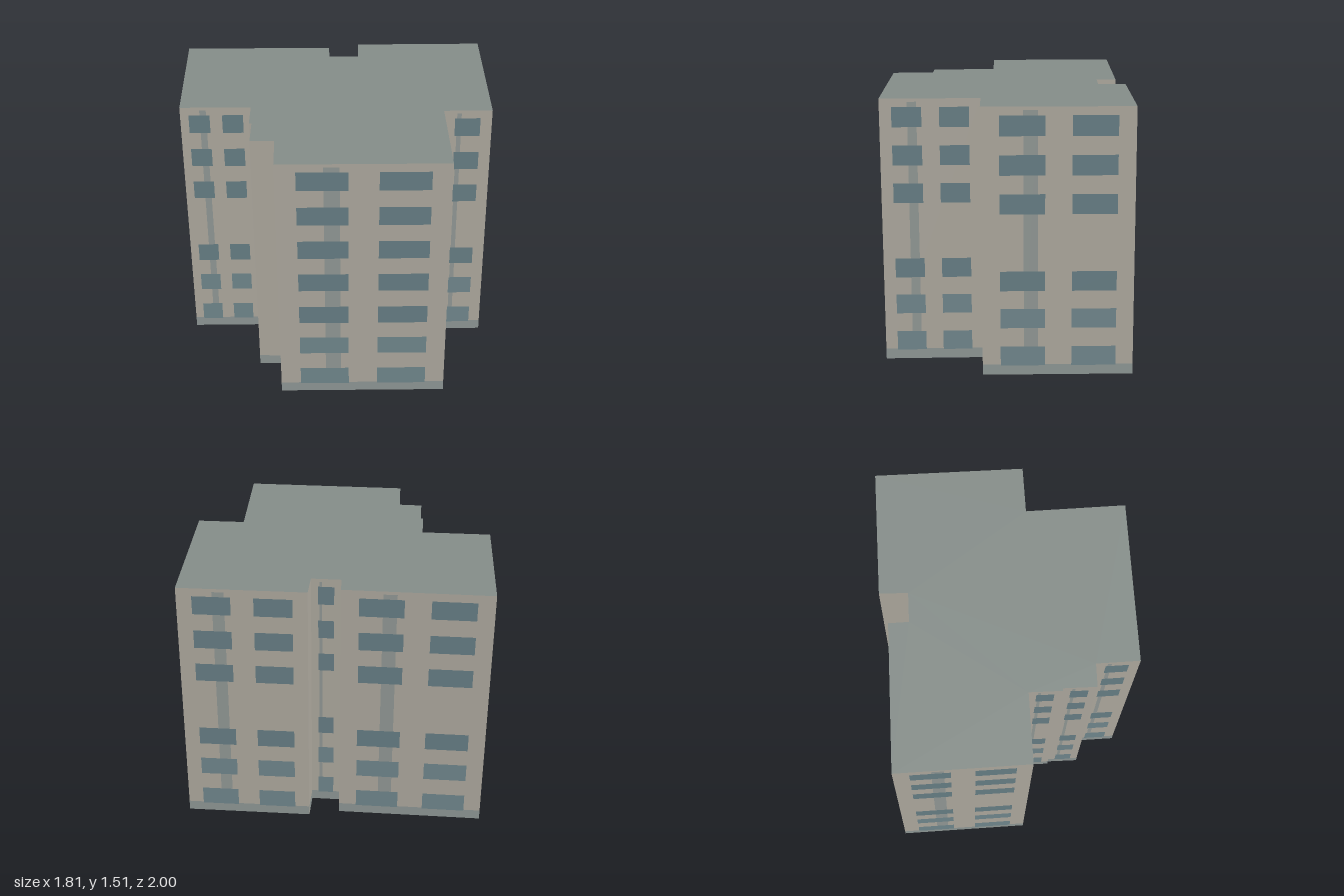
import * as THREE from 'three';

const HEIGHT = 1.513;
const PLINTH = 0.06;
const ROWS = [0.11, 0.33, 0.545, 0.765, 0.98, 1.195, 1.41];
const WINDOW_HEIGHT = 0.112;

// Footprint corners [x, z, windows per row on the wall that starts here]
const FOOTPRINT = [
  [-0.905, 0.37, 2], [-0.225, 0.995, 2], [0.145, 0.578, 1], [0.343, 0.757, 2],
  [0.905, 0.14, 2], [0.373, -0.345, 0], [0.262, -0.23, 1], [0.138, -0.345, 0],
  [0.213, -0.43, 2], [-0.40, -1.0, 2], [-0.89, -0.445, 2], [-0.60, -0.18, 1],
  [-0.725, -0.045, 0], [-0.715, -0.035, 1], [-0.84, 0.10, 0], [-0.745, 0.19, 1],
];

// Window spans as fractions of the wall width
const SPANS = { 0: [], 1: [[0.235, 0.76]], 2: [[0.12, 0.415], [0.59, 0.885]] };

const paint = (color, side = THREE.FrontSide) =>
  new THREE.MeshStandardMaterial({ color, side });

export function createModel() {
  const model = new THREE.Group();
  const wallPaint = paint(0xb4afa4, THREE.DoubleSide);
  const roofPaint = paint(0x858d89, THREE.DoubleSide);
  const glassPaint = paint(0x6b838a);
  const lowGlassPaint = paint(0x758c92);
  const stripPaint = paint(0x979e9b);
  const plinthPaint = paint(0x949d9b);

  // Flat roof; the shell below it is hollow and has no floor
  const outline = new THREE.Shape(FOOTPRINT.map(([x, z]) => new THREE.Vector2(x, -z)));
  const roof = new THREE.Mesh(new THREE.ShapeGeometry(outline).rotateX(-Math.PI / 2), roofPaint);
  roof.name = 'roof';
  roof.position.y = HEIGHT;
  model.add(roof);

  FOOTPRINT.forEach(([x, z, count], i) => {
    const [nx, nz] = FOOTPRINT[(i + 1) % FOOTPRINT.length];
    const width = Math.hypot(nx - x, nz - z);

    // Facade frame: x runs along the wall, z points outwards
    const facade = new THREE.Group();
    facade.name = `facade${i + 1}`;
    facade.position.set(x, 0, z);
    facade.rotation.y = Math.atan2(z - nz, nx - x);
    model.add(facade);

    const panel = (name, u0, u1, y0, y1, offset, material) => {
      const mesh = new THREE.Mesh(new THREE.PlaneGeometry((u1 - u0) * width, y1 - y0), material);
      mesh.position.set(((u0 + u1) / 2) * width, (y0 + y1) / 2, offset);
      mesh.name = name;
      facade.add(mesh);
    };

    panel('wall', 0, 1, 0, HEIGHT, 0, wallPaint);
    panel('plinth', 0, 1, 0, PLINTH, 0.0015, plinthPaint);
    if (count === 0) return;

    // Vertical strip behind the first window column
    panel('verticalStrip', 0.275, 0.367, PLINTH, 1.495, 0.0015, stripPaint);

    // Window rows; only the main front wall has the middle row
    ROWS.forEach((y, row) => {
      if (row === 3 && i !== 0) return;
      const glass = row < 2 ? lowGlassPaint : glassPaint;
      for (const [u0, u1] of SPANS[count]) {
        panel('window', u0, u1, y - WINDOW_HEIGHT / 2, y + WINDOW_HEIGHT / 2, 0.003, glass);
      }
    });
  });

  return model;
}
